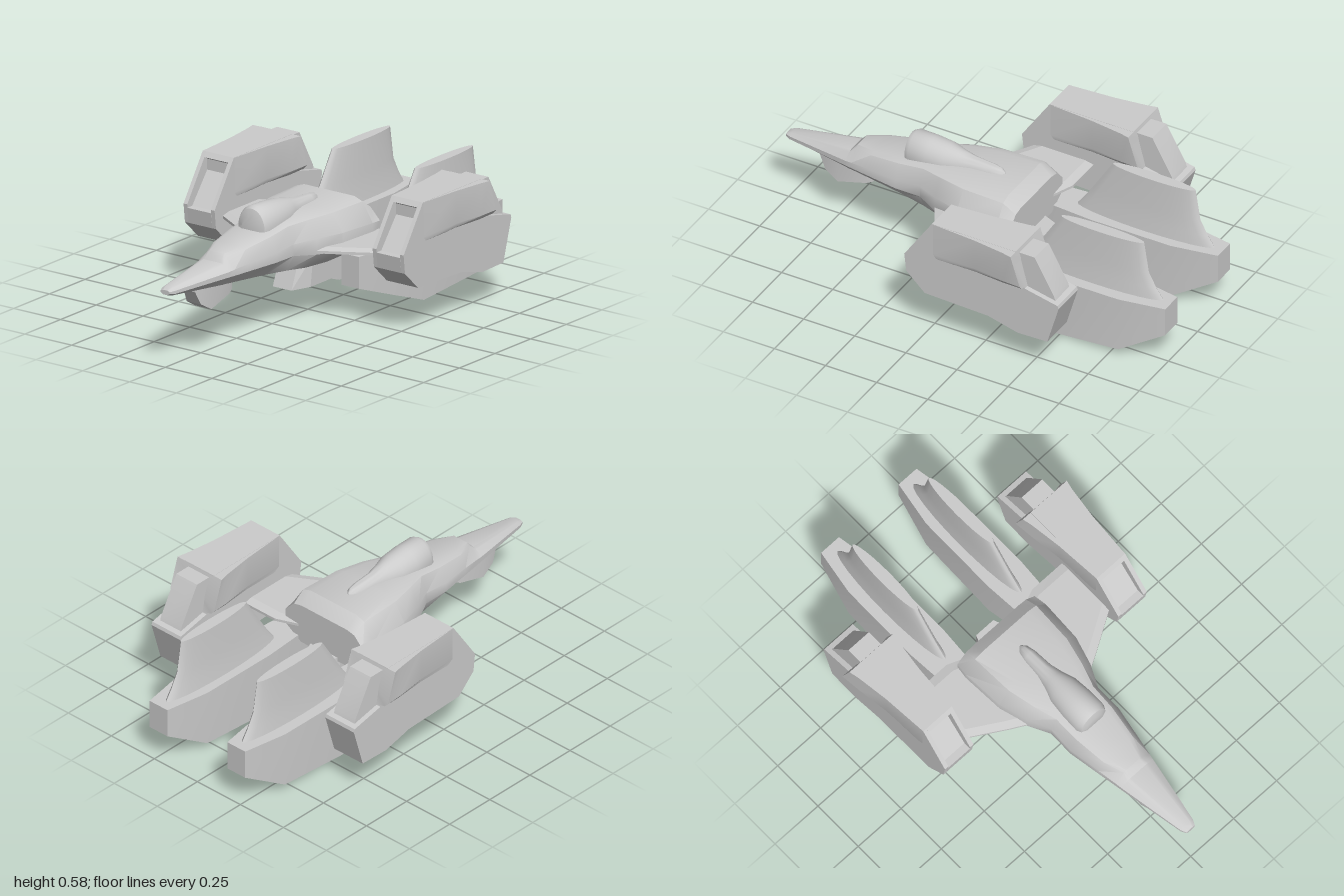
import * as THREE from 'three';
import { toCreasedNormals } from 'three/addons/utils/BufferGeometryUtils.js';

const material = new THREE.MeshStandardMaterial({ color: 0xcccccc });

function mesh(name, geometry, crease = 0.5) {
  const m = new THREE.Mesh(toCreasedNormals(geometry, crease), material);
  m.name = name;
  return m;
}

// Skin a list of rings (each a loop of [x, y, z]) and close both ends.
// Rings run clockwise as seen looking along the direction of travel.
function loft(rings) {
  const n = rings[0].length, last = (rings.length - 1) * n, index = [];
  for (let i = 0; i < rings.length - 1; i++) {
    for (let j = 0; j < n; j++) {
      const a = i * n + j, b = i * n + (j + 1) % n;
      index.push(a, b, a + n, b, b + n, a + n);
    }
  }
  for (let j = 1; j < n - 1; j++) {
    index.push(0, j + 1, j, last, last + j, last + j + 1);
  }
  const g = new THREE.BufferGeometry();
  g.setAttribute('position', new THREE.Float32BufferAttribute(rings.flat(2), 3));
  g.setIndex(index);
  return g.toNonIndexed();
}

// Full symmetric ring from right-half points, listed from top to bottom.
const mirrorRing = half => [...half, ...half.slice().reverse().map(([x, y, z]) => [-x, y, z])];

// Side profile of [z, y] points, extruded across x and centred on x = 0.
function sideExtrude(points, width) {
  const shape = new THREE.Shape(points.map(([z, y]) => new THREE.Vector2(z, y)));
  const g = new THREE.ExtrudeGeometry(shape, { depth: width, bevelEnabled: false });
  return g.translate(0, 0, -width / 2).rotateY(-Math.PI / 2);
}

// Box-like hull along z from [z, half width, top y, bottom y]
const boxHull = sections => loft(sections.map(([z, w, t, b]) => mirrorRing([[w, t, z], [w, b, z]])));

function makeFuselage() {
  // z, top half width, top y, side half width, side high y, side low y, bottom half width, bottom y
  const sections = [
    [1.0, 0.012, 0.348, 0.024, 0.343, 0.335, 0.012, 0.327],
    [0.975, 0.022, 0.358, 0.036, 0.346, 0.332, 0.02, 0.322],
    [0.67, 0.06, 0.392, 0.093, 0.362, 0.338, 0.055, 0.297],
    [0.64, 0.052, 0.425, 0.098, 0.366, 0.338, 0.057, 0.295],
    [0.55, 0.085, 0.438, 0.114, 0.375, 0.34, 0.065, 0.288],
    [0.4, 0.105, 0.462, 0.14, 0.385, 0.343, 0.08, 0.277],
    [0.28, 0.108, 0.48, 0.137, 0.392, 0.34, 0.1, 0.268],
    [0.18, 0.14, 0.49, 0.185, 0.4, 0.33, 0.125, 0.26],
    [0.05, 0.17, 0.495, 0.223, 0.4, 0.32, 0.14, 0.256],
    [-0.15, 0.178, 0.497, 0.233, 0.395, 0.32, 0.14, 0.258],
    [-0.21, 0.175, 0.45, 0.225, 0.39, 0.32, 0.135, 0.262],
  ];
  return mesh('fuselage', loft(sections.map(([z, wt, t, ws, sh, sl, wb, b]) => mirrorRing([
    [wt * 0.75, t, z], [wt, t - (t - sh) * 0.15, z], [ws, sh, z], [ws, sl, z], [wb, b, z],
  ]))), 0.6);
}

// Domed canopy tapering into a spine
function makeCanopy() {
  const base = 0.44;
  const sections = [
    [0.405, 0.045, 0.52], [0.395, 0.07, 0.555], [0.375, 0.08, 0.565], [0.29, 0.081, 0.562],
    [0.21, 0.075, 0.554], [0.15, 0.055, 0.54], [0.09, 0.041, 0.528], [0, 0.036, 0.522],
    [-0.04, 0.027, 0.515], [-0.06, 0.01, 0.5],
  ];
  return mesh('canopy', loft(sections.map(([z, w, t]) => {
    const ring = [];
    for (let i = 0; i <= 16; i++) {
      const a = -Math.PI / 2 + Math.PI * i / 16;
      ring.push([w * Math.sin(a), base + 0.03 + (t - base - 0.03) * Math.cos(a), z]);
    }
    return [...ring, [w, base, z], [-w, base, z]];
  })), 0.7);
}

function makePod(side) {
  const pod = new THREE.Group();
  pod.name = side > 0 ? 'leftPod' : 'rightPod';
  const rear = [[-0.445, 0.587], [-0.49, 0.41], [-0.65, 0.375], [-0.655, 0.36], [-0.6, 0.172],
    [-0.455, 0.168], [-0.31, 0.205], [0, 0.215], [0.09, 0.3]];
  // Core with a recessed intake between two cheek plates
  const intake = [[0.1, 0.37], [0.065, 0.37], [-0.06, 0.53], [-0.03, 0.565], [-0.02, 0.565], [-0.035, 0.587]];
  pod.add(mesh('podCore', sideExtrude([...intake, ...rear], 0.126)));
  for (const s of [-1, 1]) {
    const cheek = mesh('podCheek', sideExtrude([[0.1, 0.385], [-0.035, 0.587], ...rear], 0.02));
    cheek.position.x = s * 0.073;
    pod.add(cheek);
  }
  // Flared upper shroud with a slanted rear edge
  const shroud = [[-0.04, 0.083, 0.41, 0], [-0.25, 0.098, 0.42, 0], [-0.4, 0.118, 0.42, 0], [-0.445, 0.128, 0.425, 0.045]];
  pod.add(mesh('podShroud', loft(shroud.map(([z, w, b, slant]) => mirrorRing([
    [w, 0.586, z], [w, b + 0.02, z - slant], [w - (w - 0.08) * 0.4, b, z - slant], [0.07, b - 0.01, z - slant],
  ])))));
  pod.add(mesh('podExhaust', sideExtrude(
    [[-0.4, 0.57], [-0.4, 0.35], [-0.635, 0.35], [-0.62, 0.4], [-0.525, 0.57]], 0.12)));
  pod.position.x = side * 0.505;
  return pod;
}

// Lower hull with a tapered tail fin on top
function makeLowerHull(side) {
  const hull = new THREE.Group();
  hull.name = side > 0 ? 'leftLowerHull' : 'rightLowerHull';
  hull.add(mesh('hullBody', boxHull([
    [0, 0.047, 0.29, 0.148], [-0.2, 0.076, 0.29, 0.075], [-0.4, 0.09, 0.29, 0.003],
    [-0.79, 0.088, 0.29, 0.03], [-1, 0.052, 0.29, 0.155],
  ]), 0.25));
  // y, front z, back z, half width
  const levels = [[0.555, -0.46, -0.865, 0.027], [0.41, -0.37, -0.888, 0.033],
    [0.34, -0.325, -0.925, 0.038], [0.28, -0.28, -0.965, 0.045]];
  const fin = mesh('tailFin', loft(levels.map(([y, front, back, w]) =>
    Array.from({ length: 24 }, (_, i) => {
      const a = i / 24 * Math.PI * 2;
      return [w * Math.sin(a), y, (front + back) / 2 - Math.cos(a) * (front - back) / 2];
    }))), 0.7);
  fin.position.x = -side * 0.005;
  hull.add(fin);
  hull.position.x = side * 0.226;
  return hull;
}

// Thin wing joining the fuselage to a pod
function makeWing(side) {
  const stations = [[0.15, 0.2, -0.21], [0.25, 0.145, -0.25], [0.45, 0.025, -0.25]];
  const wing = mesh(side > 0 ? 'leftWing' : 'rightWing', loft(stations.map(([x, f, b]) => [
    [x, 0.015, b + 0.04], [x, 0.015, f - 0.04], [x, 0.006, f], [x, -0.006, f],
    [x, -0.015, f - 0.04], [x, -0.015, b + 0.04], [x, -0.006, b], [x, 0.006, b],
  ])), 0.2);
  wing.position.y = 0.342;
  if (side < 0) wing.rotation.z = Math.PI;
  return wing;
}

export function createModel() {
  const model = new THREE.Group();
  model.name = 'spacecraft';
  model.add(makeFuselage(), makeCanopy());

  // Chin pod under the nose
  model.add(mesh('chinPod', boxHull([
    [0.83, 0.03, 0.325, 0.3], [0.8, 0.038, 0.325, 0.24], [0.735, 0.045, 0.325, 0.203],
    [0.6, 0.038, 0.32, 0.237], [0.57, 0.03, 0.32, 0.25],
  ]), 0.3));

  // Belly block with chamfered ends and a raked nose
  const belly = [[0.18, 0.05, 0.055], [0.09, 0.083, 0.02], [-0.2, 0.083, 0], [-0.28, 0.05, 0]];
  model.add(mesh('bellyBlock', loft(belly.map(([z, w, rake]) =>
    mirrorRing([[w, 0.28, z - rake], [w, 0.142, z]]))), 0.2));

  for (const side of [1, -1]) {
    model.add(makeWing(side), makePod(side), makeLowerHull(side));
  }
  return model;
}
